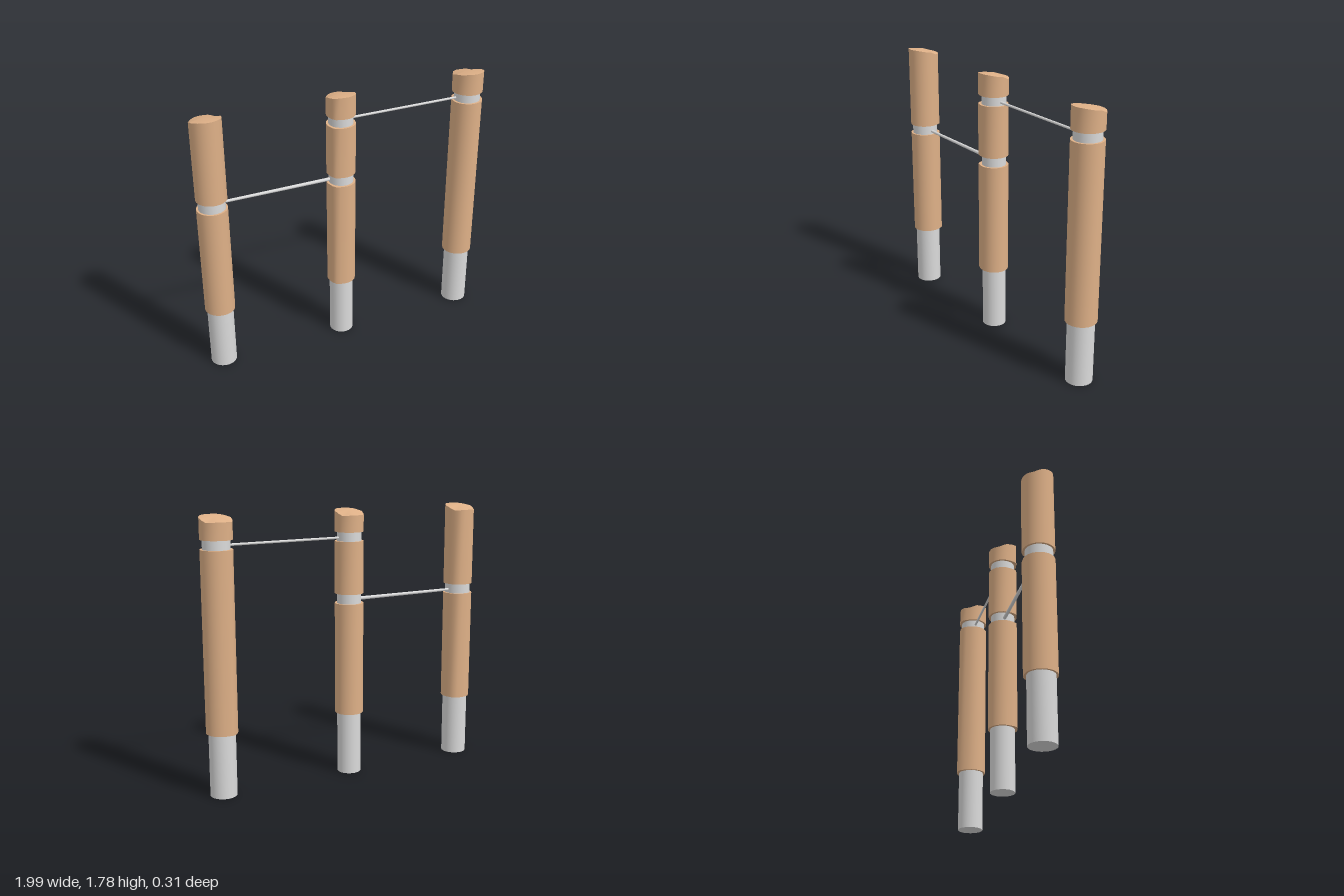
import * as THREE from 'three';
import { toCreasedNormals } from 'three/addons/utils/BufferGeometryUtils.js';

const wood = new THREE.MeshStandardMaterial({ color: 0xdeb087 });
wood.name = 'wood';
const steel = new THREE.MeshStandardMaterial({ color: 0xdadada });
steel.name = 'steel';

const TOP = 1.78;

// Post positions, radii, log sections, and the direction of the bulge in each log
const posts = [
  { name: 'rightPost', x: -0.9, z: -0.058, r: 0.099, core: 0.086, bulge: Math.atan2(-0.095, 0.075), sections: [[0.42, 1.17], [1.235, TOP]] },
  { name: 'middlePost', x: -0.027, z: -0.004, r: 0.095, core: 0.08, bulge: Math.atan2(0.075, -0.08), sections: [[0.42, 1.17], [1.235, 1.58], [1.64, TOP]] },
  { name: 'leftPost', x: 0.892, z: 0.05, r: 0.102, core: 0.087, bulge: Math.atan2(-0.1, -0.045), sections: [[0.42, 1.58], [1.64, TOP]] },
];

// Log section: slightly irregular outline, with a rough sawn top on the last one
function logSection(post, [y0, y1]) {
  const geo = new THREE.CylinderGeometry(post.r, post.r, y1 - y0, 24, 1);
  geo.translate(0, (y0 + y1) / 2, 0);
  const p = geo.attributes.position;
  for (let i = 0; i < p.count; i++) {
    const x = p.getX(i), z = p.getZ(i);
    let d = Math.abs(Math.atan2(z, x) - post.bulge);
    d = Math.min(d, 2 * Math.PI - d);
    const k = 1 + 0.09 * Math.exp(-((d / 0.28) ** 2));
    let y = p.getY(i);
    if (y1 === TOP && y > y1 - 0.001) {
      const u = x / post.r, v = z / post.r;
      y += 0.005 - 0.035 * THREE.MathUtils.smoothstep(-v, -0.1, 0.7) - 0.015 * u ** 4;
    }
    p.setXYZ(i, x * k, y, z * k);
  }
  const mesh = new THREE.Mesh(toCreasedNormals(geo, 0.7), wood);
  mesh.name = 'logSection';
  return mesh;
}

// Steel bar between two points
function bar(name, from, to, r0, r1) {
  const a = new THREE.Vector3(...from), b = new THREE.Vector3(...to);
  const dir = b.clone().sub(a);
  const mesh = new THREE.Mesh(new THREE.CylinderGeometry(r1, r0, dir.length(), 12), steel);
  mesh.position.copy(a).add(b).multiplyScalar(0.5);
  mesh.quaternion.setFromUnitVectors(new THREE.Vector3(0, 1, 0), dir.normalize());
  mesh.name = name;
  return mesh;
}

export function createModel() {
  const model = new THREE.Group();
  model.name = 'pullUpBars';
  for (const post of posts) {
    const group = new THREE.Group();
    group.name = post.name;
    group.position.set(post.x, 0, post.z);
    // Steel core showing at the foot and in the gaps
    const core = new THREE.Mesh(new THREE.CylinderGeometry(post.core, post.core, 1.7, 24), steel);
    core.name = 'steelCore';
    core.position.y = 0.85;
    group.add(core, ...post.sections.map((s) => logSection(post, s)));
    model.add(group);
  }
  // Low bar on one side, high bar on the other
  const [a, b, c] = posts;
  model.add(bar('lowBar', [a.x, 1.193, a.z - 0.006], [b.x, 1.193, b.z - 0.006], 0.009, 0.012));
  model.add(bar('highBar', [b.x, 1.602, b.z], [c.x, 1.602, c.z], 0.008, 0.008));
  return model;
}
